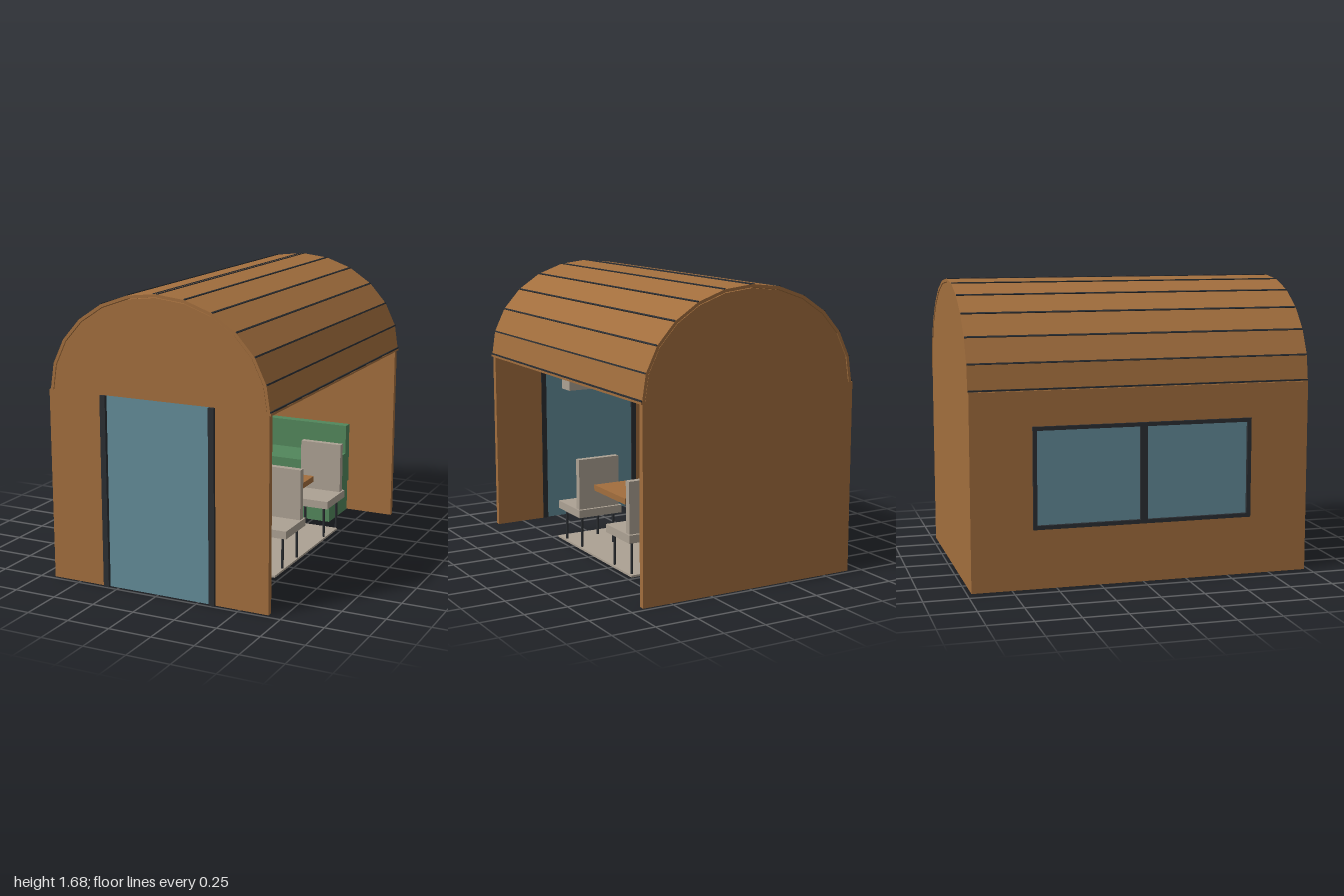
import * as THREE from 'three';

const mat = (name, color) => Object.assign(new THREE.MeshStandardMaterial({ color }), { name });

export function createModel() {
  const wood = mat('wood', 0xa26e3d);
  const dark = mat('dark metal', 0x2b2e32);
  const glass = mat('glass', 0x628b98);
  const beige = mat('beige', 0xaca193);
  const green = mat('green fabric', 0x52865b);
  const root = new THREE.Group();
  root.name = 'cabin';

  const add = (parent, name, geometry, material) => {
    const mesh = new THREE.Mesh(geometry, material);
    mesh.name = name;
    parent.add(mesh);
    return mesh;
  };
  // Box given by its limits on each axis
  const box = (parent, name, material, x0, x1, y0, y1, z0, z1) => {
    const m = add(parent, name, new THREE.BoxGeometry(x1 - x0, y1 - y0, z1 - z0), material);
    m.position.set((x0 + x1) / 2, (y0 + y1) / 2, (z0 + z1) / 2);
    return m;
  };
  const group = (name) => {
    const g = new THREE.Group();
    g.name = name;
    root.add(g);
    return g;
  };
  const extrude = (shape, depth) => new THREE.ExtrudeGeometry(shape, { depth, bevelEnabled: false });

  // Walls: the +x side stays open
  box(root, 'backWall', wood, -0.67, 0.67, 0, 1.1, -0.975, -0.94);
  box(root, 'frontWallRight', wood, -0.67, -0.335, 0, 1.1, 0.94, 0.975);
  box(root, 'frontWallLeft', wood, 0.35, 0.67, 0, 1.1, 0.94, 0.975);
  const side = new THREE.Shape([[-0.94, 0], [0.94, 0], [0.94, 1.1], [-0.94, 1.1]].map(p => new THREE.Vector2(...p)));
  side.holes.push(new THREE.Path([[-0.61, 0.355], [-0.61, 0.885], [0.61, 0.885], [0.61, 0.355]].map(p => new THREE.Vector2(...p))));
  add(root, 'sideWall', extrude(side, 0.035).rotateY(-Math.PI / 2).translate(-0.635, 0, 0), wood);

  // Glass door with dark posts
  box(root, 'doorGlass', glass, -0.335, 0.35, 0, 1.1, 0.95, 0.972);
  box(root, 'doorPostRight', dark, -0.338, -0.305, 0, 1.1, 0.938, 0.992);
  box(root, 'doorPostLeft', dark, 0.322, 0.356, 0, 1.1, 0.938, 0.992);

  // Window with two panes
  const win = group('window');
  const fx = [-0.684, -0.622];
  box(win, 'frameBottom', dark, ...fx, 0.335, 0.357, -0.63, 0.63);
  box(win, 'frameTop', dark, ...fx, 0.883, 0.905, -0.63, 0.63);
  for (const [z0, z1] of [[-0.63, -0.608], [-0.02, 0.02], [0.608, 0.63]])
    box(win, 'frameUpright', dark, ...fx, 0.357, 0.883, z0, z1);
  for (const s of [-1, 1]) {
    const z0 = s > 0 ? 0.02 : -0.608, z1 = z0 + 0.588;
    box(win, 'pane', glass, -0.665, -0.64, 0.357, 0.883, z0, z1);
    // Thin pale bead around the inside of the pane
    for (const y of [0.357, 0.877]) box(win, 'bead', beige, -0.64, -0.634, y, y + 0.006, z0, z1);
    for (const z of [z0, z1 - 0.006]) box(win, 'bead', beige, -0.64, -0.634, 0.357, 0.883, z, z + 0.006);
  }

  // Vaulted roof: twelve flat panels over an elliptical arch
  const cx = 0.008, cy = 1.1, N = 12;
  const arc = (a, b) => Array.from({ length: N + 1 }, (_, i) => {
    const t = Math.PI * i / N;
    return new THREE.Vector2(cx + a * Math.cos(t), cy + b * Math.sin(t));
  });
  const outer = arc(0.667, 0.575), inner = arc(0.65, 0.558);
  add(root, 'roof', extrude(new THREE.Shape([...outer, ...inner.reverse()]), 1.956).translate(0, 0, -0.978), wood);
  box(root, 'eaveTrim', wood, 0.657, 0.68, 1.09, 1.102, -0.978, 0.978);

  // Dark seams along the panel joints, doubled on the ridge
  const seams = group('roofSeams');
  const seam = (x, y, angle) => {
    const m = add(seams, 'seam', new THREE.BoxGeometry(0.009, 0.01, 1.954), dark);
    m.position.set(x, y, 0);
    m.rotation.z = angle;
  };
  outer.forEach((p, i) => {
    const t = Math.PI * i / N;
    const angle = Math.atan2(Math.sin(t) / 0.575, Math.cos(t) / 0.667) - Math.PI / 2;
    if (i === N / 2) for (const d of [-0.011, 0.011]) seam(p.x + d, p.y - 0.003, 0);
    else seam(p.x, p.y + (i % N ? 0 : 0.007), angle);
  });

  // Gable ends
  for (const [name, z] of [['frontGable', 0.945], ['backGable', -0.975]])
    add(root, name, extrude(new THREE.Shape(arc(0.647, 0.554)), 0.03).translate(0, 0, z), wood);

  // Rug
  box(root, 'rug', beige, -0.49, 0.475, 0.005, 0.017, -0.49, 0.46);

  // Four chairs, all facing the front
  for (const s of [-1, 1]) for (const z of [0.24, -0.383]) {
    const chair = group('chair');
    box(chair, 'seat', beige, -0.142, 0.142, 0.215, 0.262, -0.142, 0.142);
    box(chair, 'backrest', beige, -0.132, 0.132, 0.262, 0.565, -0.124, -0.084);
    for (const lx of [-0.105, 0.105]) for (const lz of [-0.1, 0.105])
      add(chair, 'leg', new THREE.CylinderGeometry(0.008, 0.008, 0.19, 8), dark).position.set(lx, 0.12, lz);
    chair.position.set(s * 0.365, 0, z);
  }

  // Table top
  box(root, 'tableTop', wood, -0.4, 0.4, 0.37, 0.405, -0.275, 0.112);

  // Sofa
  const sofa = group('sofa');
  box(sofa, 'sofaSeat', green, -0.41, 0.41, 0.04, 0.425, -0.82, -0.515);
  box(sofa, 'sofaBack', green, -0.41, 0.41, 0.23, 0.607, -0.84, -0.78);

  // Air conditioner above the door, inside
  const ac = group('airConditioner');
  box(ac, 'acBody', beige, -0.21, 0.21, 0.85, 1.028, 0.828, 0.938);
  box(ac, 'acVent', dark, -0.16, 0.16, 0.9, 0.955, 0.823, 0.829);
  for (let i = 0; i < 3; i++)
    box(ac, 'acSlat', beige, -0.15, 0.15, 0.91 + i * 0.014, 0.916 + i * 0.014, 0.819, 0.824);

  // Ceiling lamp
  box(root, 'ceilingLamp', beige, -0.06, 0.06, 1.575, 1.64, -0.44, 0.44);

  // Wall socket
  const socket = group('socket');
  box(socket, 'socketPlate', dark, -0.637, -0.627, 0.238, 0.275, 0.602, 0.672);
  for (const z of [0.622, 0.652])
    box(socket, 'socketInset', beige, -0.628, -0.625, 0.25, 0.263, z - 0.008, z + 0.008);

  return root;
}
